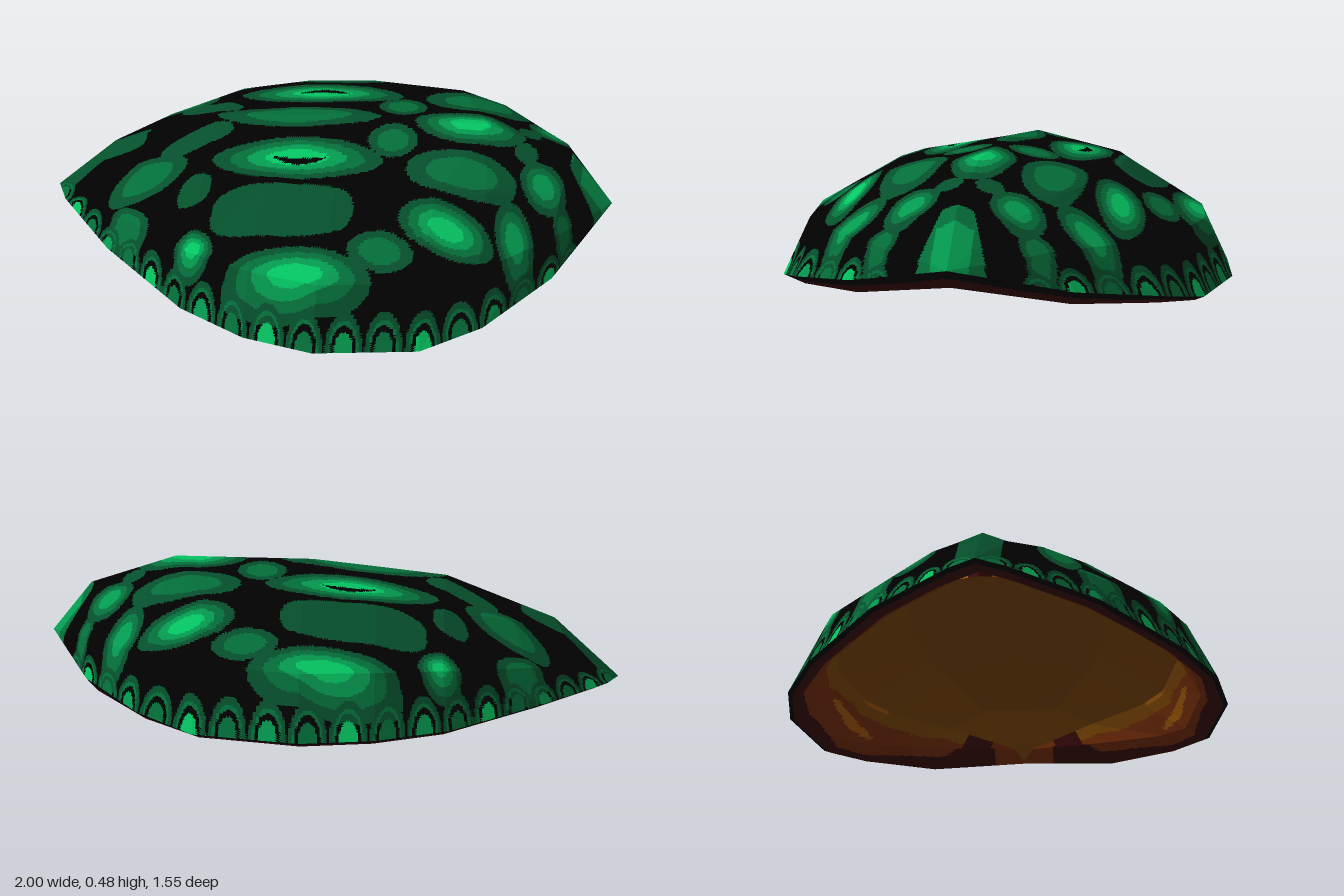
import * as THREE from 'three';

const COLORS = {
  shellBlack: 0x010101, darkGreen: 0x06502c, midGreen: 0x046f3a, lightGreen: 0x049a50, brightGreen: 0x04c562,
  lipRed: 0x3c0a0a, rust: 0x7a300a, brown: 0x824a04, ochre: 0xa85c08,
};
const GREENS = ['shellBlack', 'darkGreen', 'midGreen', 'lightGreen', 'brightGreen'];

// Lengthwise lines of one half of the shell, from rear tip to front tip
const RIM = [[-1, .055, 0], [-.95, .05, .09], [-.71, .045, .36], [-.38, .02, .62], [-.14, .018, .735],
  [.1, .018, .775], [.44, .03, .715], [.63, .075, .61], [.83, .125, .36], [1, .215, 0]];
const SIDE = [[-1, .055, 0], [-.87, .13, .1], [-.66, .16, .33], [-.36, .2, .55], [-.14, .215, .64],
  [.1, .22, .68], [.43, .23, .62], [.6, .24, .53], [.82, .25, .31], [1, .215, 0]];
const SHOULDER = [[-1, .055, 0], [-.8, .215, .08], [-.61, .29, .18], [-.37, .35, .31], [-.14, .375, .37],
  [.1, .39, .39], [.43, .4, .36], [.59, .39, .3], [.83, .335, .16], [1, .215, 0]];
const RIDGE = [[-1, .055, 0], [-.77, .265, 0], [-.58, .34, 0], [-.39, .415, 0], [-.14, .445, 0],
  [.08, .47, 0], [.38, .476, 0], [.56, .48, 0], [.86, .385, 0], [1, .215, 0]];

// Scutes: x, z, half length, half width, brightest tone, corner power, turn
const SCUTES = [
  [-.1, 0, .29, .068, 2, 1.8, 0], [.5, 0, .19, .1, 4, 1.9, 0], [-.83, 0, .18, .07, 1, 6, 0],
  [-.06, .225, .295, .105, 4, 1.8, 0], [-.07, .44, .24, .088, 1, 3, 0], [.02, .645, .25, .085, 4, 1.9, 0],
  [.5, .235, .185, .1, 2, 2.3, 0], [.48, .445, .16, .08, 4, 2, .1], [.28, .55, .11, .062, 2, 1.8, 0],
  [.25, .115, .085, .085, 2, 1.8, 0], [-.59, .23, .145, .072, 2, 2.3, 0], [-.44, .11, .13, .052, 1, 2.5, -.4],
  [-.39, .345, .058, .052, 1, 2.5, 0], [-.63, .365, .1, .045, 2, 2.3, .6], [-.35, .54, .075, .055, 4, 2, .5],
  [.7, .385, .065, .11, 3, 2, -.25], [.77, .17, .078, .088, 3, 2.2, -.2], [.7, .065, .04, .045, 1, 2, 0],
  [.85, .25, .035, .06, 2, 2, 0],
];

// Length along the rim at each station, used to space the edge scallops
const rimLength = [0];
for (let i = 1; i < RIM.length; i++) {
  rimLength.push(rimLength[i - 1] + Math.hypot(...RIM[i].map((c, k) => c - RIM[i - 1][k])));
}

function paintShell(x, y, z, i, row, du, dv) {
  // front beak
  if (x > .85 && z < .05 + (x - .85) * .6) return z < .06 && x > .89 ? 'lightGreen' : 'midGreen';
  // arched scallops along the edge
  if (row === 0) {
    const s = rimLength[i] + du * (rimLength[i + 1] - rimLength[i]);
    const e = Math.hypot(((s % .13) - .065) / .062, (dv * .2) / .12);
    if (e < .5) return ['midGreen', 'brightGreen', 'midGreen', 'lightGreen'][Math.floor(s / .13) % 4];
    if (e > .68 && e < 1) return e < .8 ? 'midGreen' : 'darkGreen';
  }
  // dark curved slit in the big upper scute
  const across = (x + .05) / .095;
  if (Math.abs(z - .245 + across ** 2 * .025) < .016 * (1 - across ** 2)) return 'shellBlack';
  for (const [cx, cz, rx, rz, tone, power, turn] of SCUTES) {
    const c = Math.cos(turn), s = Math.sin(turn), dx = x - cx, dz = z - cz;
    const a = Math.abs(dx * c + dz * s) / rx, b = Math.abs(dz * c - dx * s) / rz;
    const f = (a ** power + b ** power) ** (1 / power);
    if (f < 1) return GREENS[Math.min(tone, 1 + Math.floor((1 - f) * (tone + .8)))];
  }
  return 'shellBlack';
}

function paintInside(x, y, z, i, row, du, dv) {
  if (row === 0) return dv < .45 ? 'shellBlack' : 'lipRed';
  // broad dark lip under the beak and the rear tip
  if (row < 3 && (x > .77 || x < -.84)) return z < .12 && x > .8 ? 'rust' : 'lipRed';
  if (row === 1) return dv < .5 + .15 * Math.sin(x * 9) ? 'lipRed' : 'rust';
  const wave = Math.sin(x * 7 + Math.sin(z * 9)) + Math.sin(y * 60 + x * 4);
  if (row === 2) return wave > 1.5 ? 'ochre' : dv < .55 + .15 * Math.sin(x * 5) ? 'rust' : 'brown';
  return 'brown';
}

// Skins mirrored strips between the lines, sorted into one mesh per colour
function skin(name, lines, n, paint, inward, materials) {
  const buckets = {};
  for (let row = 0; row < lines.length - 1; row++) {
    for (let i = 0; i < RIM.length - 1; i++) {
      const a = lines[row][i], b = lines[row][i + 1], c = lines[row + 1][i + 1], d = lines[row + 1][i];
      // flat on each half of the panel, folded along its diagonal
      const at = (u, v) => a.map((p, k) => (u >= v
        ? p + u * (b[k] - p) + v * (c[k] - b[k])
        : p + v * (d[k] - p) + u * (c[k] - d[k])));
      for (let p = 0; p < n; p++) for (let q = 0; q < n; q++) {
        const u0 = p / n, u1 = (p + 1) / n, v0 = q / n, v1 = (q + 1) / n;
        for (const tri of [[[u0, v0], [u1, v0], [u1, v1]], [[u0, v0], [u1, v1], [u0, v1]]]) {
          const pts = tri.map(([u, v]) => at(u, v));
          const du = (tri[0][0] + tri[1][0] + tri[2][0]) / 3, dv = (tri[0][1] + tri[1][1] + tri[2][1]) / 3;
          const [x, y, z] = at(du, dv);
          const out = (buckets[paint(x, y, z, i, row, du, dv)] ??= []);
          for (const side of [1, -1]) {
            const order = (side === 1) !== inward ? [0, 1, 2] : [0, 2, 1];
            for (const k of order) out.push(pts[k][0], pts[k][1], pts[k][2] * side);
          }
        }
      }
    }
  }
  const group = new THREE.Group();
  group.name = name;
  for (const [color, positions] of Object.entries(buckets)) {
    const geometry = new THREE.BufferGeometry();
    geometry.setAttribute('position', new THREE.Float32BufferAttribute(positions, 3));
    geometry.computeVertexNormals();
    const mesh = new THREE.Mesh(geometry, materials[color]);
    mesh.name = `${name} ${color}`;
    group.add(mesh);
  }
  return group;
}

export function createModel() {
  const materials = {};
  for (const [name, color] of Object.entries(COLORS)) {
    materials[name] = new THREE.MeshStandardMaterial({ color });
    materials[name].name = name;
  }
  // the inside follows the outer lines, drawn in towards the middle, under a flatter roof
  const inset = (line, s, drop) => line.map(([x, y, z]) => [x * s, Math.max(.05, y - drop), z * s]);
  const lip = RIM.map(([x, y, z]) => [x * .955, Math.max(0, y - .018 - .09 * Math.max(0, x - .5)), z * .955]);
  const inside = [RIM, lip, inset(RIM, .88, -.015), inset(SIDE, .89, .03), inset(SHOULDER, .89, .04), inset(RIDGE, .89, .08)];

  const model = new THREE.Group();
  model.name = 'turtleShell';
  model.add(
    skin('outerShell', [RIM, SIDE, SHOULDER, RIDGE], 32, paintShell, false, materials),
    skin('innerShell', inside, 12, paintInside, true, materials),
  );
  return model;
}
